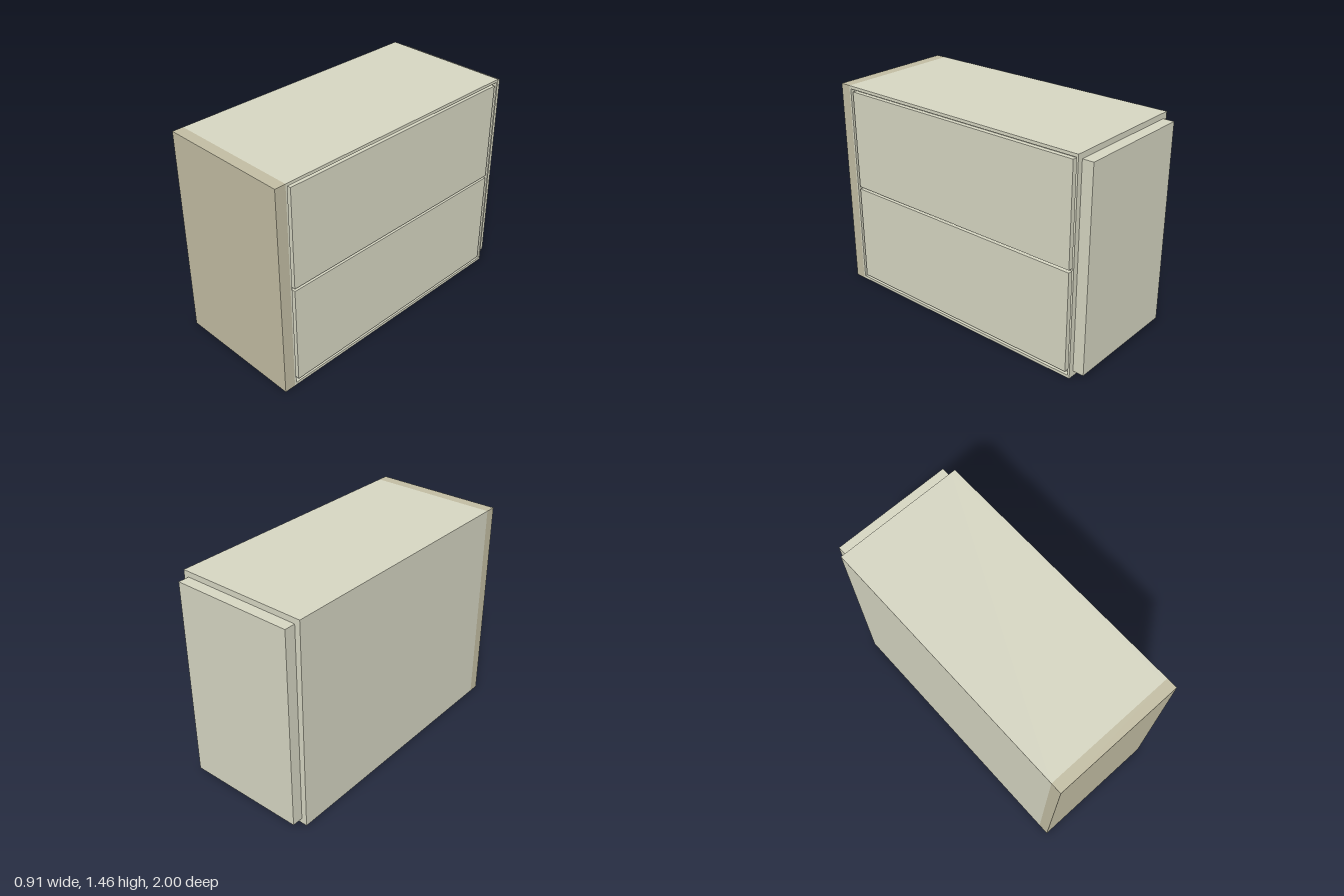
import * as THREE from 'three';

const W = 0.453, H = 1.456, BODY_Z = 0.925, RECESS = 0.03;
const bodyMat = new THREE.MeshStandardMaterial({ color: 0xd6d6c2 });
const panelMat = new THREE.MeshStandardMaterial({ color: 0xc2bda3 });

// Box given by its lower and upper limits on each axis
function block(name, [x0, x1], [y0, y1], [z0, z1], material) {
  const mesh = new THREE.Mesh(new THREE.BoxGeometry(x1 - x0, y1 - y0, z1 - z0), material);
  mesh.position.set((x0 + x1) / 2, (y0 + y1) / 2, (z0 + z1) / 2);
  mesh.name = name;
  return mesh;
}

function rectangle(target, halfWidth, y0, y1) {
  target.moveTo(-halfWidth, y0);
  target.lineTo(halfWidth, y0);
  target.lineTo(halfWidth, y1);
  target.lineTo(-halfWidth, y1);
  target.closePath();
  return target;
}

export function createModel() {
  const cabinet = new THREE.Group();
  cabinet.name = 'drawerCabinet';
  const faceX = W - RECESS;

  // Carcass behind the drawer recess
  cabinet.add(block('carcass', [-W, faceX], [0, H], [-BODY_Z, BODY_Z], bodyMat));

  // Thin frame around the drawer opening on the left side (+x)
  const outline = rectangle(new THREE.Shape(), BODY_Z, 0, H);
  outline.holes.push(rectangle(new THREE.Path(), 0.912, 0.02, H - 0.02));
  const frame = new THREE.Mesh(
    new THREE.ExtrudeGeometry(outline, { depth: RECESS, bevelEnabled: false }), bodyMat);
  frame.rotation.y = Math.PI / 2;
  frame.position.x = faceX;
  frame.name = 'drawerFrame';
  cabinet.add(frame);

  // Two drawer fronts, flush with the frame and separated by shadow gaps
  [['lowerDrawer', 0.037, 0.72], ['upperDrawer', 0.737, 1.419]].forEach(([name, y0, y1]) =>
    cabinet.add(block(name, [faceX, W], [y0, y1], [-0.892, 0.892], bodyMat)));

  // Coloured front panel and inset back panel
  cabinet.add(block('frontPanel', [-W, W], [0, H], [BODY_Z, 1], panelMat));
  cabinet.add(block('backPanel', [-0.416, 0.416], [0.037, 1.419], [-1, -BODY_Z], bodyMat));

  return cabinet;
}
